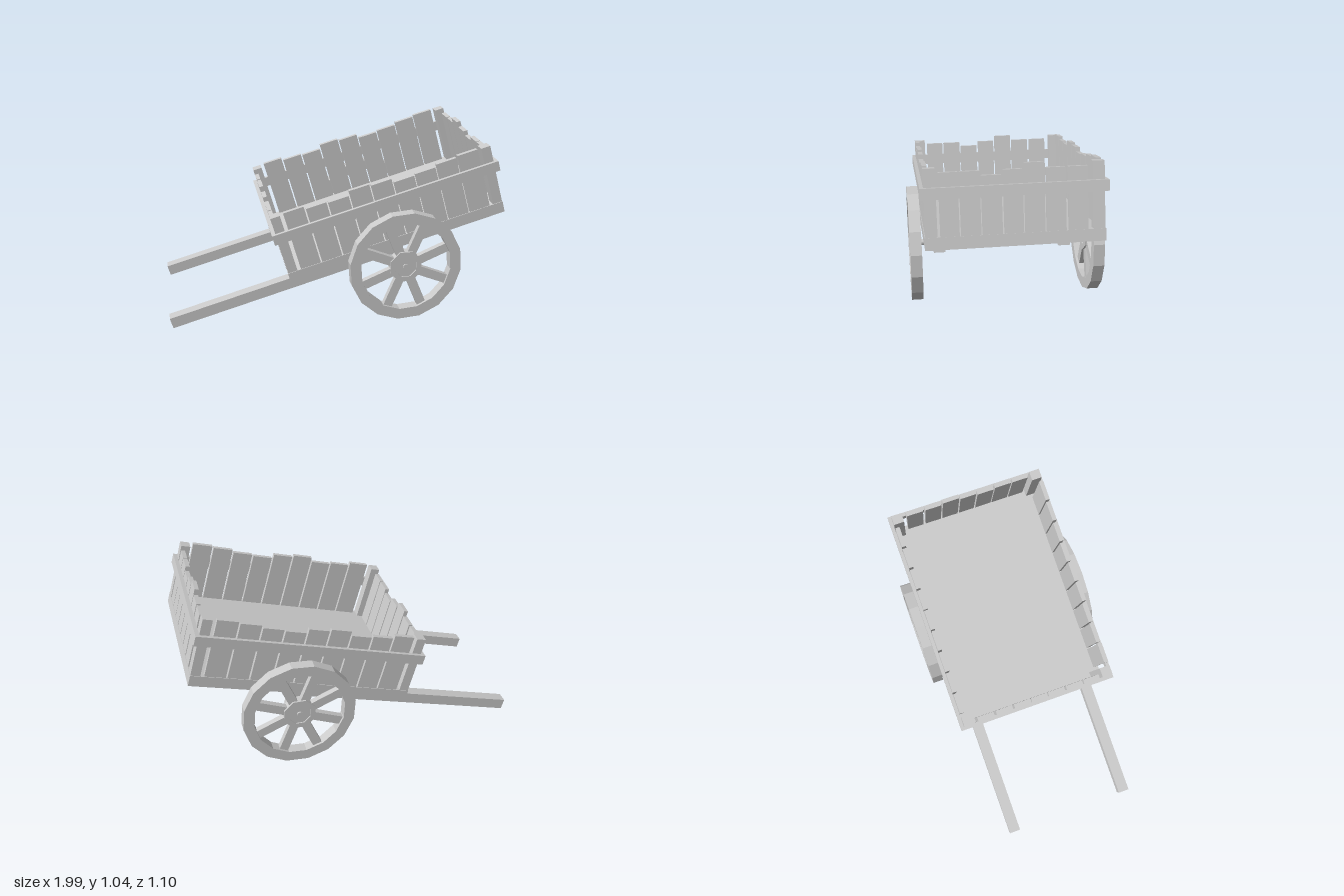
import * as THREE from 'three';

const TILT = THREE.MathUtils.degToRad(15.7);

export function createModel() {
  const mat = new THREE.MeshStandardMaterial({ color: 0xcccccc, flatShading: true });
  const root = new THREE.Group();
  root.name = 'handCart';

  // The whole cart leans about its axle, so parts are placed relative to the axle
  const cart = new THREE.Group();
  cart.name = 'tiltedCart';
  cart.position.set(0.38, 0.346, 0);
  cart.rotation.z = TILT;
  root.add(cart);

  const add = (parent, name, geometry) => {
    const mesh = new THREE.Mesh(geometry, mat);
    mesh.name = name;
    parent.add(mesh);
    return mesh;
  };
  // Box given by its minimum and maximum along each axis
  const box = (name, x0, x1, y0, y1, z0, z1, parent = cart) => {
    const mesh = add(parent, name, new THREE.BoxGeometry(x1 - x0, y1 - y0, z1 - z0));
    mesh.position.set((x0 + x1) / 2, (y0 + y1) / 2, (z0 + z1) / 2);
    return mesh;
  };

  // Floor slab
  const floorTop = 0.17;
  box('floor', -0.667, 0.667, 0.103, floorTop, -0.477, 0.477);

  // Plank edges and uneven top heights
  const sideTops = [0.537, 0.519, 0.512, 0.54, 0.529, 0.503, 0.51, 0.525, 0.534];
  const endPlanks = [
    [0.295, 0.395, 0.507], [0.182, 0.287, 0.507], [0.07, 0.175, 0.482], [-0.041, 0.06, 0.507],
    [-0.154, -0.05, 0.538], [-0.266, -0.163, 0.507], [-0.383, -0.28, 0.507],
  ];

  for (const s of [-1, 1]) {
    const zBox = (name, x0, x1, y0, y1, a, b) =>
      box(name, x0, x1, y0, y1, Math.min(s * a, s * b), Math.max(s * a, s * b));
    const xBox = (name, a, b, y0, y1, z0, z1) =>
      box(name, Math.min(s * a, s * b), Math.max(s * a, s * b), y0, y1, z0, z1);

    // Side planks and rail
    sideTops.forEach((top, i) => {
      const x = (i - 4) * 0.1315;
      zBox('sidePlank', x - 0.061, x + 0.061, floorTop, top, 0.447, 0.473);
    });
    zBox('sideRail', -0.688, 0.688, 0.372, 0.432, 0.473, 0.493);

    // End planks and rail
    for (const [z0, z1, top] of endPlanks) xBox('endPlank', 0.64, 0.665, floorTop, top, z0, z1);
    xBox('endRail', 0.665, 0.688, 0.372, 0.432, -0.473, 0.473);

    // Corner posts
    for (const e of [-1, 1]) {
      const post = zBox('cornerPost', -0.028, 0.028, floorTop, 0.53, 0.41, 0.473);
      post.position.x = e * 0.637;
    }

    // Handle and the block that carries the axle
    zBox('handle', -1.405, 0.03, 0.038, 0.103, 0.34, 0.407);
    zBox('axleBlock', -0.034, 0.034, -0.062, 0.103, 0.339, 0.408);

    const wheel = buildWheel(add, box);
    wheel.position.z = s * 0.5175;
    if (s < 0) wheel.scale.z = -1;
    cart.add(wheel);
  }

  // Axle
  add(cart, 'axle', new THREE.CylinderGeometry(0.018, 0.018, 1.096, 8)).rotation.x = Math.PI / 2;

  return root;
}

function polygon(shape, radius, sides, phase = 0) {
  for (let i = 0; i < sides; i++) {
    const a = phase + (i / sides) * Math.PI * 2;
    shape[i ? 'lineTo' : 'moveTo'](radius * Math.cos(a), radius * Math.sin(a));
  }
  shape.closePath();
  return shape;
}

function buildWheel(add, box) {
  const wheel = new THREE.Group();
  wheel.name = 'wheel';

  // Sixteen-sided rim
  const rimShape = polygon(new THREE.Shape(), 0.337, 16);
  rimShape.holes.push(polygon(new THREE.Path(), 0.272, 16));
  const rim = new THREE.ExtrudeGeometry(rimShape, { depth: 0.065, bevelEnabled: false });
  add(wheel, 'rim', rim.translate(0, 0, -0.0325));

  // Eight spokes
  const phase = Math.PI / 8 - TILT;
  for (let i = 0; i < 8; i++) {
    const arm = new THREE.Group();
    arm.name = 'spoke';
    arm.rotation.z = phase + (i * Math.PI) / 4;
    box('spokeBar', 0.06, 0.275, -0.027, 0.027, -0.018, 0.018, arm);
    wheel.add(arm);
  }

  // Octagonal hub with a raised ring around a recessed centre
  const hubShape = polygon(new THREE.Shape(), 0.1, 8, phase);
  hubShape.holes.push(polygon(new THREE.Path(), 0.067, 8, phase));
  const ring = new THREE.ExtrudeGeometry(hubShape, { depth: 0.056, bevelEnabled: false });
  add(wheel, 'hubRing', ring.translate(0, 0, -0.028));
  const core = new THREE.ExtrudeGeometry(polygon(new THREE.Shape(), 0.068, 8, phase),
    { depth: 0.042, bevelEnabled: false });
  add(wheel, 'hubCentre', core.translate(0, 0, -0.021));
  return wheel;
}
